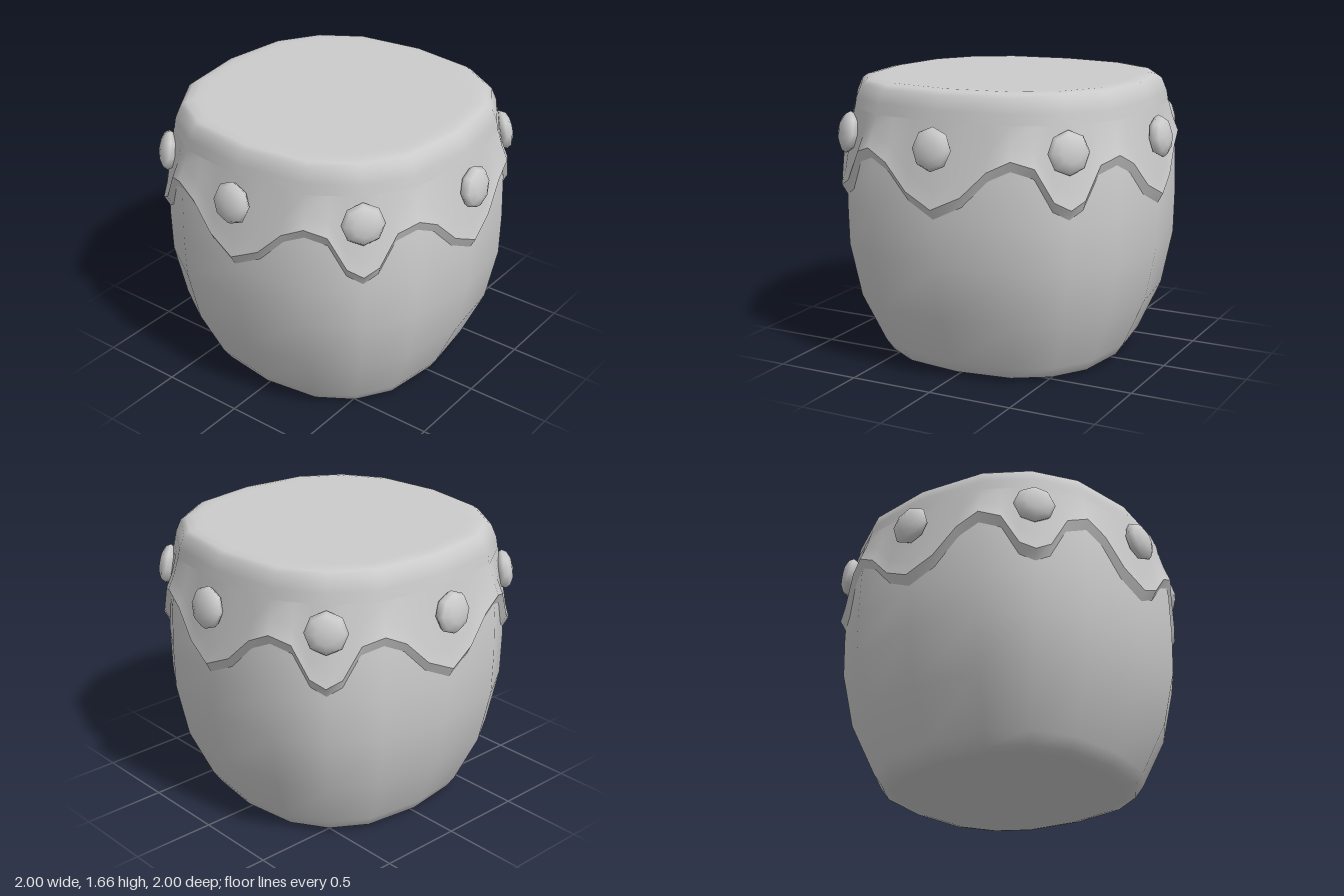
import * as THREE from 'three';

const material = new THREE.MeshStandardMaterial({ color: 0xcccccc });

// One quarter of the softly squared, sixteen-sided plan
const QUARTER = [[1, 0], [0.935, 0.47], [0.755, 0.755], [0.47, 0.935]];

// Point on the plan; u runs 0..16 around the drum from +x towards +z
function plan(u) {
  const corner = (k) => {
    let [x, z] = QUARTER[k % 4];
    for (let q = 0; q < Math.floor(k / 4) % 4; q++) [x, z] = [-z, x];
    return [x, z];
  };
  const k = Math.floor(u), f = u - k;
  const a = corner(k), b = corner(k + 1);
  return [a[0] + (b[0] - a[0]) * f, a[1] + (b[1] - a[1]) * f];
}

// Side profile as [half width, height], bottom to top
const PROFILE = [
  [0, 0], [0.58, 0], [0.635, 0.004], [0.695, 0.022], [0.74, 0.09], [0.87, 0.38],
  [0.932, 0.7], [0.937, 0.95], [0.93, 1.21], [0.875, 1.56], [0.845, 1.635],
  [0.815, 1.657], [0.77, 1.665], [0.72, 1.665], [0, 1.665],
];

function radiusAt(y) {
  const i = PROFILE.findIndex((p) => p[1] > y);
  const [r0, y0] = PROFILE[i - 1], [r1, y1] = PROFILE[i];
  return r0 + (r1 - r0) * (y - y0) / (y1 - y0);
}

// Closed skin over rows ordered bottom to top; each row maps u to [half width, height]
function skin(name, us, rows) {
  const n = us.length, positions = [], index = [];
  rows.forEach((row) => us.forEach((u) => {
    const [x, z] = plan(u), [r, y] = row(u);
    positions.push(x * r, y, z * r);
  }));
  for (let i = 0; i < rows.length - 1; i++) {
    for (let j = 0; j < n; j++) {
      const a = i * n + j, b = i * n + (j + 1) % n;
      index.push(a, a + n, b, b, a + n, b + n);
    }
  }
  const geometry = new THREE.BufferGeometry();
  geometry.setAttribute('position', new THREE.Float32BufferAttribute(positions, 3));
  geometry.setIndex(index);
  geometry.computeVertexNormals();
  const mesh = new THREE.Mesh(geometry, material);
  mesh.name = name;
  return mesh;
}

// Scalloped hem: [u, height] from a side tip over a peak to a corner tip
const HEM = [[0, 1.03], [0.375, 1.11], [0.7, 1.255], [1, 1.32], [1.4, 1.28], [1.72, 1.1], [2, 1.055]];
const HEM_U = [], HEM_Y = new Map();
for (let q = 0; q < 4; q++) {
  const mirrored = HEM.slice(1, -1).reverse().map(([u, y]) => [4 - u, y]);
  [...HEM, ...mirrored].forEach(([u, y]) => {
    HEM_U.push(q * 4 + u);
    HEM_Y.set(q * 4 + u, y);
  });
}

export function createModel() {
  const drum = new THREE.Group();
  drum.name = 'drum';

  // Barrel with closed top and bottom
  const sixteen = Array.from({ length: 16 }, (_, i) => i);
  drum.add(skin('body', sixteen, PROFILE.map((p) => () => p)));

  // Skin band lying on the barrel, thickening towards the hem
  const at = (y, offset) => [radiusAt(y) + offset, y];
  const hemRow = (rise, offset) => (u) => at(HEM_Y.get(u) + rise, offset);
  drum.add(skin('band', HEM_U, [hemRow(0, 0.032), hemRow(0.09, 0.012), () => at(1.5, 0.002)]));
  drum.add(skin('bandLip', HEM_U, [hemRow(-0.065, -0.004), hemRow(0, 0.032)]));

  // Eight flattened studs around the band
  const studGeometry = new THREE.SphereGeometry(1, 8, 6);
  studGeometry.rotateX(Math.PI / 2);
  studGeometry.scale(0.12, 0.122, 0.056);
  studGeometry.rotateX(-0.15);
  for (let i = 0; i < 8; i++) {
    const angle = i * Math.PI / 4;
    const distance = i % 2 ? 0.985 : 0.943;
    const stud = new THREE.Mesh(studGeometry, material);
    stud.name = 'stud';
    stud.position.set(Math.sin(angle) * distance, 1.36, Math.cos(angle) * distance);
    stud.rotation.y = angle;
    drum.add(stud);
  }
  return drum;
}
